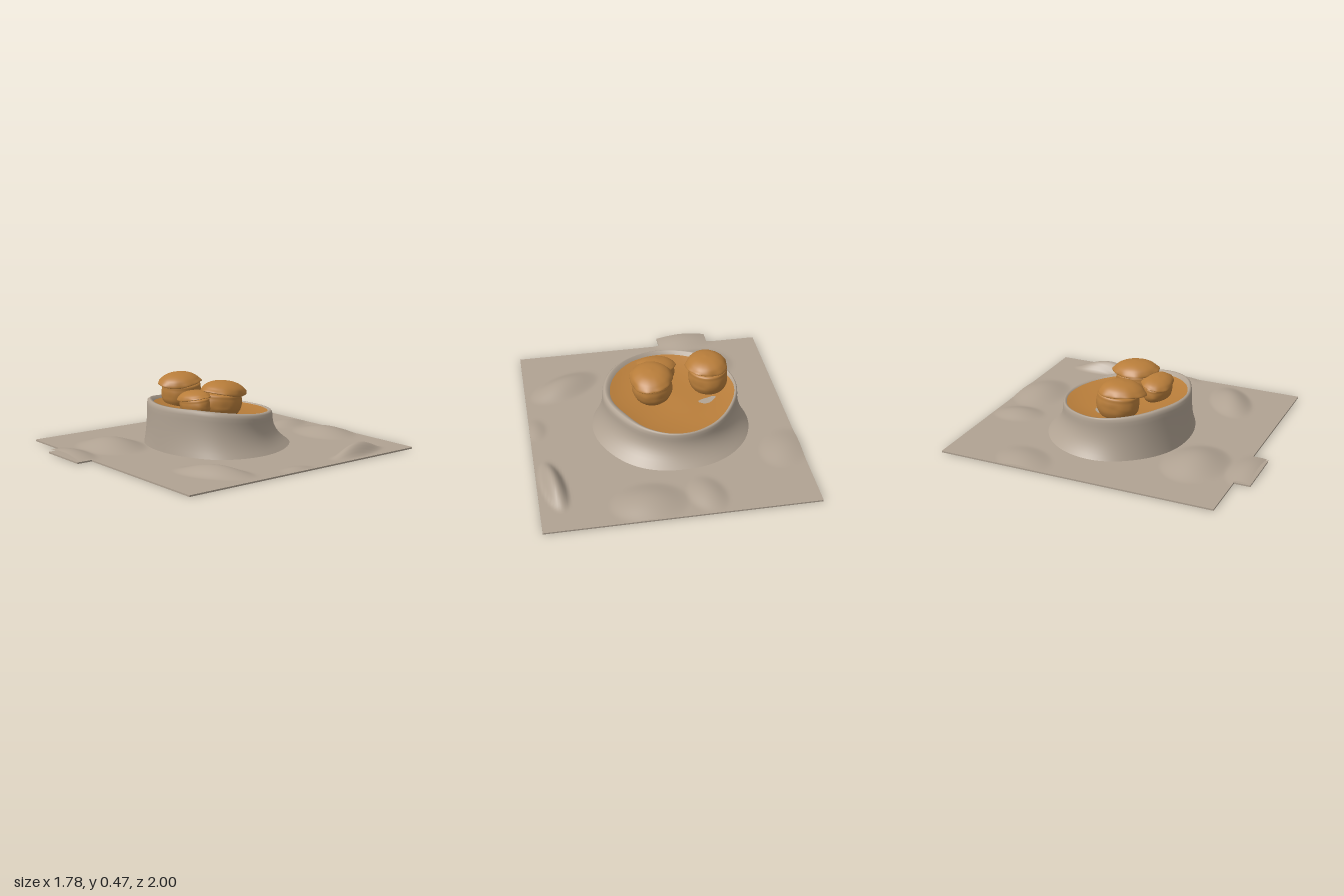
import * as THREE from 'three';
import { mergeVertices } from 'three/addons/utils/BufferGeometryUtils.js';

const clay = new THREE.MeshStandardMaterial({ color: 0xb0a292, side: THREE.DoubleSide });
clay.name = 'grey clay';
const caramel = new THREE.MeshStandardMaterial({ color: 0xb87d3a, side: THREE.DoubleSide });
caramel.name = 'caramel';

const clamp = THREE.MathUtils.clamp;

function add(parent, name, geometry, material) {
  const mesh = new THREE.Mesh(geometry, material);
  mesh.name = name;
  parent.add(mesh);
  return mesh;
}

// Mounds on the sheet: x, z, half width, half depth, height, turn
const mounds = [
  [-0.39, 0.59, 0.28, 0.23, 0.06, 0],
  [-0.35, 0.94, 0.25, 0.15, 0.035, 0],
  [0.6, 0.48, 0.28, 0.15, 0.053, 0.5],
  [0.78, -0.58, 0.08, 0.27, 0.075, 0.15],
  [0.2, -0.84, 0.26, 0.2, 0.045, 0],
  [-0.18, -0.82, 0.13, 0.19, 0.03, 0.2],
  [-0.78, -0.45, 0.17, 0.22, 0.028, -0.5],
  [0.85, 0.02, 0.08, 0.13, 0.015, 0],
];

function groundY(x, z) {
  let y = 0.012;
  for (const [mx, mz, rx, rz, h, turn] of mounds) {
    const dx = x - mx, dz = z - mz, c = Math.cos(turn), s = Math.sin(turn);
    const d = ((dx * c - dz * s) / rx) ** 2 + ((dx * s + dz * c) / rz) ** 2;
    y += h * Math.max(0, 1 - d) ** 1.6;
  }
  return y;
}

function groundPatch(x0, x1, z0, z1, nx, nz) {
  const g = new THREE.PlaneGeometry(x1 - x0, z1 - z0, nx, nz).rotateX(-Math.PI / 2);
  g.translate((x0 + x1) / 2, 0, (z0 + z1) / 2);
  const p = g.attributes.position;
  for (let i = 0; i < p.count; i++) p.setY(i, groundY(p.getX(i), p.getZ(i)));
  g.computeVertexNormals();
  return g;
}

function slab(x0, x1, z0, z1) {
  return new THREE.BoxGeometry(x1 - x0, 0.01, z1 - z0).translate((x0 + x1) / 2, 0.005, (z0 + z1) / 2);
}

// Closed rings joined from the inside out, point(i, angle) gives [x, y, z]
function loft(rings, point, n = 96) {
  const pos = [], index = [];
  for (let i = 0; i < rings; i++) {
    for (let j = 0; j < n; j++) {
      pos.push(...point(i, (j / n) * Math.PI * 2));
      if (i === rings - 1) continue;
      const a = i * n + j, b = i * n + ((j + 1) % n);
      index.push(a, b, a + n, b, b + n, a + n);
    }
  }
  const g = new THREE.BufferGeometry();
  g.setAttribute('position', new THREE.Float32BufferAttribute(pos, 3));
  g.setIndex(index);
  g.computeVertexNormals();
  return g;
}

// Outlines as radii every 30 degrees from +x towards +z
const cx = -0.08, cz = -0.02;
const fillR = [0.41, 0.41, 0.40, 0.39, 0.385, 0.41, 0.44, 0.42, 0.42, 0.42, 0.40, 0.38];
const rimR = [0.46, 0.46, 0.43, 0.425, 0.43, 0.45, 0.46, 0.445, 0.445, 0.44, 0.43, 0.43];
const baseR = [0.54, 0.52, 0.46, 0.435, 0.45, 0.48, 0.53, 0.55, 0.55, 0.54, 0.55, 0.54];

function radius(table, angle) {
  const f = (angle / (Math.PI * 2)) * 12, k = Math.floor(f), t = f - k;
  const v = (o) => table[(k + o + 12) % 12];
  const a = (v(1) - v(-1)) / 2, b = (v(2) - v(0)) / 2, d = v(1) - v(0);
  return v(0) + t * (a + t * (3 * d - 2 * a - b + t * (a + b - 2 * d)));
}

const rimY = (z) => Math.min(0.322, 0.283 + 0.12 * z);
const edgeY = (z) => rimY(z) - 0.012 - 0.014 * clamp((z + 0.4) / 0.8, 0, 1);
const at = (r, a, y) => [cx + r * Math.cos(a), y, cz + r * Math.sin(a)];

function basinPoint(i, a) {
  const f = radius(fillR, a), r = radius(rimR, a), b = radius(baseR, a);
  const y = rimY(cz + r * Math.sin(a));
  if (i === 0) return at(f - 0.015, a, edgeY(cz + f * Math.sin(a)) - 0.015);
  if (i === 1) return at(f, a, edgeY(cz + f * Math.sin(a)) + 0.001);
  if (i === 2) return at(f + (r - f) * 0.35, a, y - 0.002);
  if (i === 3) return at(f + (r - f) * 0.65, a, y - 0.003);
  if (i === 4) return at(f + (r - f) * 0.9, a, y - 0.012);
  const t = (i - 5) / 9, top = y - 0.035;
  return at(r + (b - r) * t ** 2.3, a, top + (0.011 - top) * t);
}

// Sunken filling, lowest in the middle with soft ripples
function fillY(x, z) {
  const a = (Math.atan2(z - cz, x - cx) + Math.PI * 2) % (Math.PI * 2);
  const s = Math.min(1, Math.hypot(x - cx, z - cz) / radius(fillR, a));
  return edgeY(z) - 0.028 * (1 - s ** 4) + 0.005 * Math.sin(x * 13 + 1) * Math.sin(z * 11) * (1 - s);
}

function fillPoint(i, a) {
  const r = radius(fillR, a) * (i / 14), p = at(r, a, 0);
  p[1] = fillY(p[0], p[2]);
  return p;
}

// Turned profile with an uneven outline and a ragged lower edge
function turned(points, seed, wobble, ragged) {
  const pts = new THREE.SplineCurve(points.map(([x, y]) => new THREE.Vector2(x, y))).getPoints(28);
  pts.forEach((p) => { p.x = Math.max(0, p.x); });
  let g = new THREE.LatheGeometry(pts, 64);
  g.deleteAttribute('uv');
  g.deleteAttribute('normal');
  const p = g.attributes.position;
  for (let i = 0; i < p.count; i++) {
    const x = p.getX(i), y = p.getY(i), z = p.getZ(i), a = Math.atan2(z, x);
    const wave = Math.sin(3 * a + seed) * 0.5 + Math.sin(5 * a + seed * 2.3) * 0.3 + Math.sin(11 * a + seed * 4) * 0.2;
    const low = Math.max(0, 1 - Math.abs(y) * 2.5);
    const k = 1 + wobble * wave * (0.4 + low);
    p.setXYZ(i, x * k, y + ragged * low * Math.sin(2 * a + seed) + ragged * 0.5 * low * wave, z * k);
  }
  g = mergeVertices(g, 1e-4);
  g.computeVertexNormals();
  return g;
}

const bodyProfile = [[0, -1], [0.7, -0.95], [0.94, -0.5], [1, 0], [0.97, 0.5], [0.85, 0.85], [0, 1]];
const capProfile = [[0.8, 0.02], [0.95, -0.03], [1.03, 0.03], [0.98, 0.25], [0.8, 0.6], [0.48, 0.88], [0, 1]];

// A bun: puffed body under a loose domed cap
function bun(name, o) {
  const g = new THREE.Group();
  g.name = name;
  const body = add(g, 'bunBody', turned(bodyProfile, o.seed, 0.03, 0.08), caramel);
  body.scale.set(o.rx * 0.97, (o.seam - o.bottom) / 2 + 0.008, o.rz * 0.94);
  body.position.set(o.shift[0], (o.bottom - o.seam) / 2, o.shift[1]);
  const cap = add(g, 'bunCap', turned(capProfile, o.seed + 2, 0.05, 0.13), caramel);
  cap.scale.set(o.rx, o.top - o.seam, o.rz);
  g.position.set(o.x, o.seam, o.z);
  g.rotation.set(o.tilt[0], 0, o.tilt[1]);
  return g;
}

export function createModel() {
  const model = new THREE.Group();
  model.name = 'basinOnSheet';

  // Sheet with mounds and a small tab at the front
  add(model, 'sheet', groundPatch(-0.89, 0.89, -1, 0.893, 110, 116), clay);
  add(model, 'sheetUnderside', slab(-0.89, 0.89, -1, 0.893), clay);
  add(model, 'frontTab', groundPatch(-0.525, -0.16, 0.893, 0.99, 30, 10), clay);
  add(model, 'frontTabUnderside', slab(-0.525, -0.16, 0.893, 1), clay);

  // Basin wall, filling and a bare spot in the filling
  add(model, 'basin', loft(15, basinPoint), clay);
  add(model, 'filling', loft(15, fillPoint), caramel);
  add(model, 'bareSpot', loft(4, (i, a) => {
    const k = (i / 3) * (1 + 0.15 * Math.sin(3 * a));
    const x = -0.315 + 0.06 * k * Math.cos(a), z = -0.125 + k * (0.027 * Math.sin(a) - 0.015 * Math.cos(a));
    return [x, fillY(x, z) + 0.004, z];
  }, 32), clay);

  // Three buns
  model.add(bun('leftBun', { x: -0.338, z: 0.05, rx: 0.137, rz: 0.152, bottom: 0.24, seam: 0.4, top: 0.475, shift: [-0.008, -0.022], tilt: [0.05, -0.04], seed: 1 }));
  model.add(bun('largeBun', { x: 0.053, z: -0.025, rx: 0.14, rz: 0.16, bottom: 0.235, seam: 0.385, top: 0.46, shift: [-0.005, 0.01], tilt: [-0.06, -0.05], seed: 3.4 }));
  model.add(bun('smallBun', { x: -0.015, z: 0.165, rx: 0.132, rz: 0.1, bottom: 0.25, seam: 0.355, top: 0.405, shift: [0, 0], tilt: [0.1, 0.08], seed: 5.2 }));
  return model;
}
